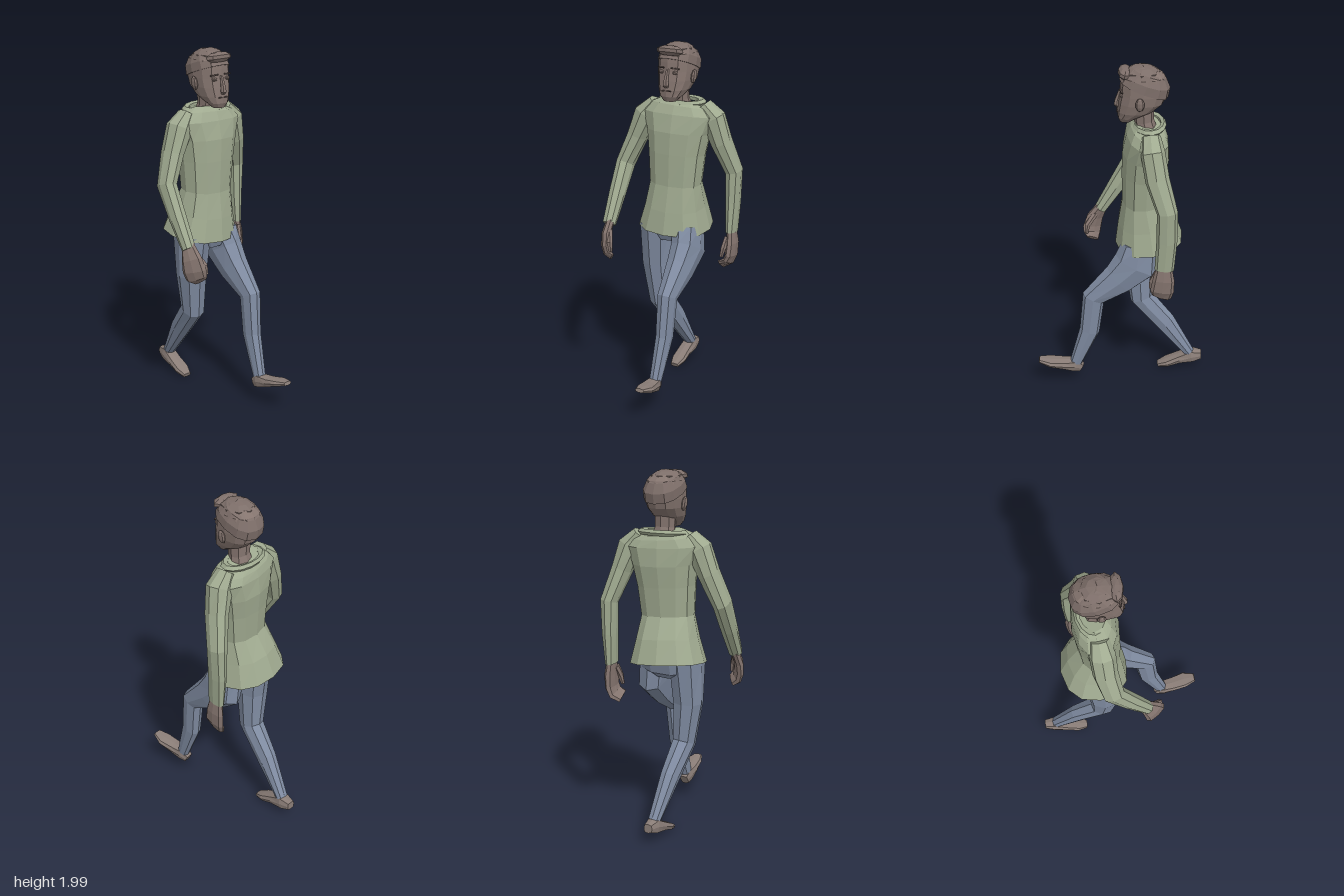
import * as THREE from 'three';

const mat = (name, color) => Object.assign(new THREE.MeshStandardMaterial({ color }), { name });

// Faceted shading baked into the normals
function faceted(geometry) {
  const g = geometry.index ? geometry.toNonIndexed() : geometry;
  g.computeVertexNormals();
  return g;
}

// Skin a closed tube over sections [x, y, z, halfWidth, halfDepth], capped at both ends.
// yaw turns the width axis about y; power below 1 makes the sections boxier.
function loft(sections, { sides = 8, yaw = 0, power = 0.85 } = {}) {
  const pos = [], idx = [], n = sections.length;
  const centre = sections.map(s => new THREE.Vector3(s[0], s[1], s[2]));
  const ref = new THREE.Vector3(Math.cos(yaw), 0, -Math.sin(yaw));
  const soft = v => Math.sign(v) * Math.pow(Math.abs(v), power);
  sections.forEach(([, , , a, b], i) => {
    const t = centre[Math.min(i + 1, n - 1)].clone().sub(centre[Math.max(i - 1, 0)]).normalize();
    const u = ref.clone().addScaledVector(t, -ref.dot(t)).normalize();
    const v = t.clone().cross(u);
    for (let k = 0; k < sides; k++) {
      const ang = (k / sides) * Math.PI * 2;
      const p = centre[i].clone()
        .addScaledVector(u, a * soft(Math.cos(ang)))
        .addScaledVector(v, b * soft(Math.sin(ang)));
      pos.push(p.x, p.y, p.z);
    }
  });
  for (let i = 0; i < n - 1; i++) {
    for (let k = 0; k < sides; k++) {
      const a = i * sides + k, b = i * sides + (k + 1) % sides;
      idx.push(a, b, b + sides, a, b + sides, a + sides);
    }
  }
  const first = n * sides, last = first + 1, top = (n - 1) * sides;
  pos.push(...centre[0].toArray(), ...centre[n - 1].toArray());
  for (let k = 0; k < sides; k++) {
    const j = (k + 1) % sides;
    idx.push(first, j, k, last, top + k, top + j);
  }
  const g = new THREE.BufferGeometry();
  g.setAttribute('position', new THREE.Float32BufferAttribute(pos, 3));
  g.setIndex(idx);
  return faceted(g);
}

export function createModel() {
  const root = new THREE.Group();
  root.name = 'walkingMan';
  const skin = mat('skin', 0x85756f);
  const hair = mat('hair', 0x7d6e69);
  const shirt = mat('shirt', 0xa0aa90);
  const jeans = mat('jeans', 0x808ca2);
  const shoe = mat('shoe', 0x8a7d77);
  const dark = mat('faceLine', 0x5a4d49);

  const add = (name, geometry, material, parent = root) => {
    const m = new THREE.Mesh(geometry, material);
    m.name = name;
    parent.add(m);
    return m;
  };
  const blob = (name, material, at, size, parent) => {
    const m = add(name, faceted(new THREE.SphereGeometry(1, 8, 5)), material, parent);
    m.position.set(...at);
    m.scale.set(...size);
    return m;
  };

  // Sweater body with a flared hem, shoulders turned with the stride
  add('sweaterBody', loft([
    [-0.02, 0.95, -0.15, 0.21, 0.19], [-0.01, 1.08, -0.135, 0.175, 0.16],
    [0, 1.21, -0.115, 0.15, 0.115], [0.005, 1.38, -0.12, 0.165, 0.122],
    [0.01, 1.5, -0.128, 0.185, 0.127], [0.012, 1.6, -0.135, 0.22, 0.112],
    [0.014, 1.645, -0.14, 0.175, 0.095], [0.016, 1.67, -0.145, 0.115, 0.075],
  ], { sides: 12, yaw: 0.12 }), shirt);
  const collar = add('collar', faceted(new THREE.TorusGeometry(0.122, 0.026, 5, 14)
    .rotateX(Math.PI / 2).scale(1, 0.65, 0.62)), shirt);
  collar.position.set(0.014, 1.667, -0.145);
  collar.rotation.set(0.06, 0.1, 0);

  // Sleeves: one arm swings forward, the other back
  add('leftSleeve', loft([
    [0.15, 1.655, -0.155, 0.04, 0.05], [0.205, 1.585, -0.165, 0.07, 0.065],
    [0.247, 1.45, -0.19, 0.055, 0.065], [0.298, 1.28, -0.245, 0.046, 0.056],
    [0.296, 1.1, -0.245, 0.038, 0.056], [0.295, 0.925, -0.235, 0.026, 0.053],
  ]), shirt);
  add('rightSleeve', loft([
    [-0.13, 1.655, -0.115, 0.04, 0.05], [-0.185, 1.585, -0.105, 0.07, 0.07],
    [-0.24, 1.45, -0.095, 0.056, 0.068], [-0.302, 1.29, -0.06, 0.048, 0.062],
    [-0.3, 1.13, 0.035, 0.045, 0.05], [-0.295, 0.975, 0.13, 0.038, 0.036],
  ]), shirt);

  // Hands with curled fingers and a thumb
  add('leftHand', loft([
    [0.295, 0.95, -0.235, 0.02, 0.04], [0.302, 0.86, -0.232, 0.024, 0.06],
    [0.3, 0.79, -0.225, 0.022, 0.065], [0.285, 0.752, -0.22, 0.02, 0.06],
    [0.245, 0.73, -0.205, 0.014, 0.045],
  ]), skin);
  add('leftThumb', loft([
    [0.287, 0.9, -0.2, 0.016, 0.022], [0.278, 0.84, -0.17, 0.016, 0.018],
    [0.268, 0.79, -0.162, 0.01, 0.01],
  ], { sides: 6 }), skin);
  add('rightHand', loft([
    [-0.293, 1, 0.115, 0.024, 0.035], [-0.297, 0.92, 0.162, 0.026, 0.06],
    [-0.292, 0.86, 0.178, 0.024, 0.068], [-0.28, 0.82, 0.18, 0.022, 0.062],
    [-0.25, 0.797, 0.175, 0.014, 0.046],
  ], { yaw: 0.65 }), skin);
  add('rightThumb', loft([
    [-0.275, 0.95, 0.16, 0.018, 0.02], [-0.243, 0.89, 0.205, 0.017, 0.017],
    [-0.235, 0.84, 0.21, 0.01, 0.01],
  ], { sides: 6 }), skin);

  // Jeans
  add('jeansHips', loft([
    [-0.008, 1, -0.13, 0.165, 0.12], [-0.008, 0.925, -0.105, 0.165, 0.125],
    [-0.005, 0.875, -0.1, 0.09, 0.09],
  ], { sides: 10 }), jeans);
  add('leftLeg', loft([
    [0.085, 0.96, -0.1, 0.085, 0.1], [0.1, 0.84, -0.08, 0.08, 0.13],
    [0.102, 0.745, 0.015, 0.07, 0.1], [0.107, 0.62, 0.16, 0.05, 0.066],
    [0.103, 0.39, 0.185, 0.043, 0.058], [0.095, 0.155, 0.268, 0.033, 0.036],
  ]), jeans);
  add('rightLeg', loft([
    [-0.11, 0.96, -0.1, 0.09, 0.12], [-0.117, 0.72, -0.1, 0.081, 0.086],
    [-0.1, 0.49, -0.115, 0.062, 0.07], [-0.085, 0.325, -0.255, 0.05, 0.062],
    [-0.068, 0.115, -0.405, 0.035, 0.03],
  ]), jeans);

  // Shoes, heel to toe
  add('leftShoe', loft([
    [0.088, 0.112, 0.238, 0.024, 0.03], [0.093, 0.133, 0.275, 0.038, 0.04],
    [0.105, 0.15, 0.35, 0.045, 0.026], [0.12, 0.17, 0.42, 0.05, 0.018],
    [0.124, 0.186, 0.484, 0.026, 0.011],
  ], { power: 0.6 }), shoe);
  add('rightShoe', loft([
    [-0.07, 0.094, -0.478, 0.026, 0.025], [-0.07, 0.092, -0.42, 0.04, 0.042],
    [-0.072, 0.066, -0.34, 0.042, 0.026], [-0.07, 0.039, -0.27, 0.045, 0.02],
    [-0.07, 0.019, -0.218, 0.026, 0.013],
  ], { power: 0.6 }), shoe);

  // Head and neck
  const head = new THREE.Group();
  head.name = 'head';
  root.add(head);
  add('neck', loft([
    [0.016, 1.63, -0.135, 0.068, 0.055], [0.016, 1.69, -0.118, 0.056, 0.052],
    [0.016, 1.79, -0.112, 0.06, 0.06],
  ]), skin, head);
  // Skull rings [y, front z, back z, half width]
  const skull = [
    [1.688, 0.012, -0.05, 0.035], [1.715, 0.024, -0.09, 0.06], [1.75, 0.025, -0.165, 0.081],
    [1.8, 0.02, -0.222, 0.095], [1.85, 0.012, -0.238, 0.1], [1.9, 0.009, -0.24, 0.101],
    [1.945, 0.004, -0.225, 0.093], [1.975, -0.02, -0.19, 0.06],
  ].map(([y, f, b, w]) => [0.016, y, 0, w, (f - b) / 2, (f + b) / 2]);
  const skullGeometry = loft(skull, { sides: 12, power: 0.85 });
  // Slide each ring to its own depth
  const p = skullGeometry.attributes.position;
  for (let i = 0; i < p.count; i++) {
    const ring = skull.find(r => Math.abs(r[1] - p.getY(i)) < 0.004);
    p.setZ(i, p.getZ(i) + ring[5]);
  }
  skullGeometry.computeVertexNormals();
  add('skull', skullGeometry, skin, head);

  // Hair cap tilted up to the forehead, with a swept fringe
  add('hairCap', loft([
    [0.016, 1.875, -0.115, 0.106, 0.138], [0.016, 1.92, -0.132, 0.104, 0.128],
    [0.016, 1.963, -0.145, 0.08, 0.092], [0.016, 1.98, -0.153, 0.045, 0.05],
  ], { sides: 12 }), hair, head);
  blob('hairFringe', hair, [0.016, 1.962, -0.015], [0.085, 0.03, 0.038], head).rotation.x = -0.2;
  blob('hairCrown', hair, [0.016, 1.957, -0.105], [0.085, 0.043, 0.1], head);

  // Face
  add('nose', loft([
    [0.016, 1.865, 0.008, 0.009, 0.008], [0.016, 1.8, 0.025, 0.014, 0.016],
    [0.016, 1.78, 0.027, 0.018, 0.017], [0.016, 1.768, 0.02, 0.012, 0.008],
  ], { sides: 6 }), skin, head);
  const lips = add('mouth', new THREE.BoxGeometry(0.056, 0.006, 0.008), dark, head);
  lips.position.set(0.016, 1.748, 0.024);
  for (const s of [-1, 1]) {
    const side = s > 0 ? 'left' : 'right';
    blob(side + 'Ear', skin, [0.016 + s * 0.104, 1.82, -0.095], [0.014, 0.04, 0.024], head).rotation.z = -s * 0.15;
    blob(side + 'Eye', skin, [0.016 + s * 0.042, 1.847, 0.001], [0.019, 0.01, 0.01], head);
    const brow = add(side + 'Brow', new THREE.BoxGeometry(0.046, 0.007, 0.009), dark, head);
    brow.position.set(0.016 + s * 0.043, 1.87, 0.003);
    brow.rotation.set(0, s * 0.25, -s * 0.08);
  }
  return root;
}
